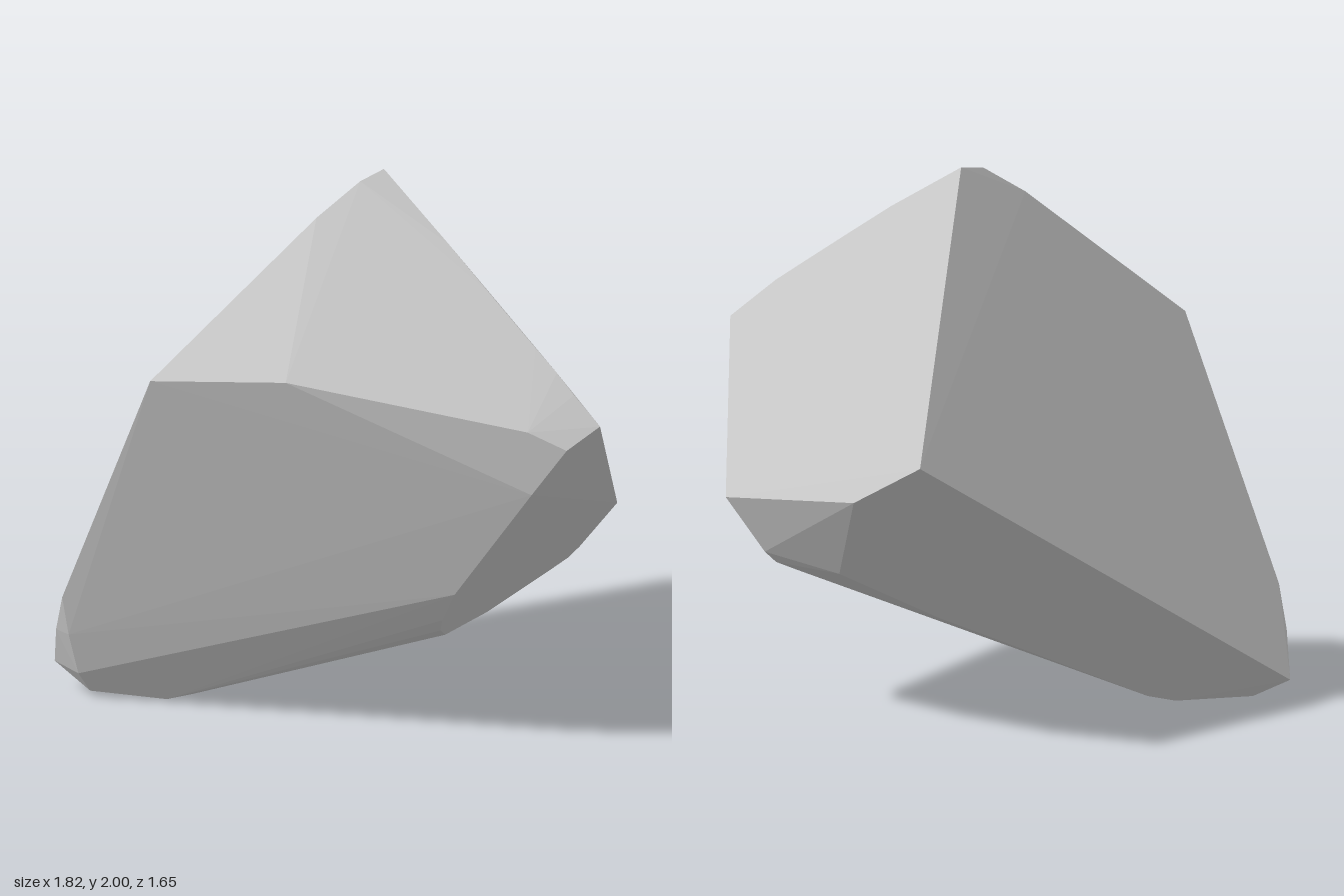
import * as THREE from 'three';
import { ConvexGeometry } from 'three/addons/geometries/ConvexGeometry.js';

export function createModel() {
  const stone = new THREE.MeshStandardMaterial({ color: 0xcacaca });
  stone.name = 'pale stone grey';

  // Corners of the boulder; its flat facets are their convex hull
  const corners = [
    // peak and the ridge falling to the front
    [-0.13, 2, -0.15], [-0.13, 1.98, -0.04], [-0.17, 1.87, 0.13], [-0.34, 1.35, 0.76],
    // curved crest falling to the left shoulder
    [0.2, 1.803, -0.178], [0.4, 1.67, -0.2], [0.62, 1.52, -0.23], [0.72, 1.45, -0.247],
    [0.8, 1.385, -0.26], [0.91, 1.29, -0.29],
    // front brow
    [0.08, 1.4, 0.48], [0.77, 1.28, -0.07], [0.88, 1.22, -0.16],
    // back rim
    [-0.6, 1.09, -0.81], [-0.28, 0.91, -0.83], [0.5, 0.77, -0.71],
    // rim of the side facet
    [0.78, 1.04, -0.08], [0.47, 0.59, 0.02], [0.377, 0.46, 0], [0.332, 0.4, -0.03],
    [0.297, 0.36, -0.08], [0.3, 0.4, -0.27], [0.333, 0.5, -0.52], [0.35, 0.54, -0.605],
    [0.372, 0.58, -0.64],
    // foot
    [-0.91, 0.1, 0.73], [-0.83, 0.26, 0.79], [-0.76, 0.41, 0.82], [-0.76, 0.26, 0.79],
    [-0.76, 0.1, 0.745], [-0.76, 0.02, 0.69], [-0.56, 0, 0.5], [-0.5, 0.02, 0.42],
    // underside
    [-0.2, 0.384, -0.326], [0.01, 0.56, -0.62],
  ].map((p) => new THREE.Vector3(...p));

  const boulder = new THREE.Mesh(new ConvexGeometry(corners), stone);
  boulder.name = 'boulder';

  const group = new THREE.Group();
  group.name = 'rock';
  group.add(boulder);
  return group;
}
